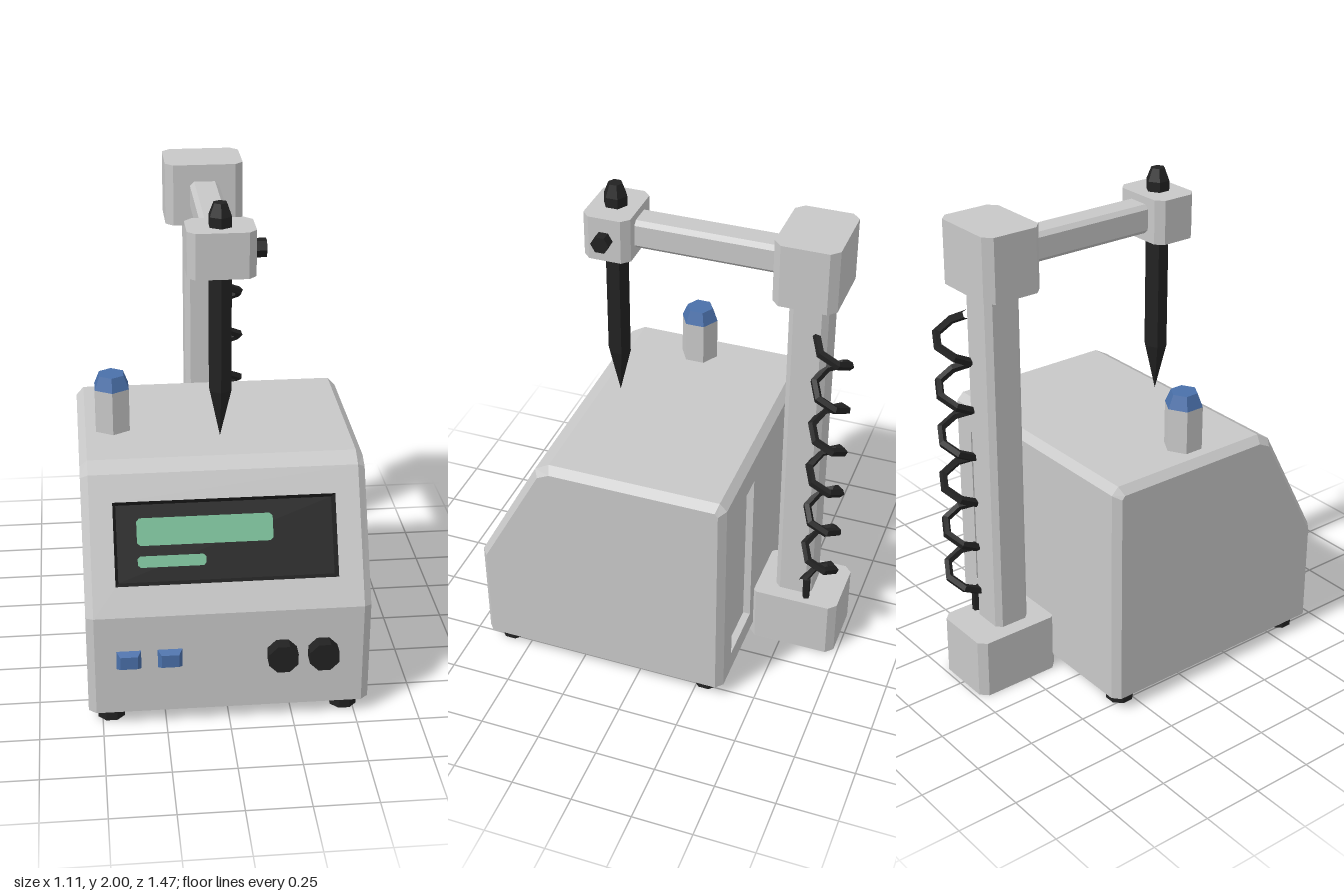
import * as THREE from 'three';

const mat = (name, color) => {
  const m = new THREE.MeshStandardMaterial({ color });
  m.name = name;
  return m;
};

// Builds faceted geometry from a list of convex polygons
function polygons(faces) {
  const pos = [];
  for (const f of faces)
    for (let k = 1; k < f.length - 1; k++) pos.push(...f[0], ...f[k], ...f[k + 1]);
  const g = new THREE.BufferGeometry();
  g.setAttribute('position', new THREE.Float32BufferAttribute(pos, 3));
  g.computeVertexNormals();
  return g;
}

// Gives every facet its own flat normal
function faceted(geometry) {
  const g = geometry.toNonIndexed();
  g.computeVertexNormals();
  return g;
}

// Rectangle with cut corners
function cutRect(x0, x1, y0, y1, c) {
  return new THREE.Shape([
    [x0 + c, y0], [x1 - c, y0], [x1, y0 + c], [x1, y1 - c],
    [x1 - c, y1], [x0 + c, y1], [x0, y1 - c], [x0, y0 + c],
  ].map(([x, y]) => new THREE.Vector2(x, y)));
}

const prism = (shape, depth) => new THREE.ExtrudeGeometry(shape, { depth, bevelEnabled: false });

// Upright block with chamfered vertical edges
function post(w, d, y0, y1, z, c) {
  return prism(cutRect(-w / 2, w / 2, -d / 2, d / 2, c), y1 - y0)
    .rotateX(-Math.PI / 2).translate(0, y0, z);
}

const rect = (x0, x1, y0, y1, z) => [[x0, y0, z], [x1, y0, z], [x1, y1, z], [x0, y1, z]];

// Side walls joining two four-cornered loops
const walls = (a, b) => a.map((p, i) => [p, a[(i + 1) % 4], b[(i + 1) % 4], b[i]]);

export function createModel() {
  const grey = mat('casing grey', 0xc8c8c8);
  const black = mat('black plastic', 0x222222);
  const blue = mat('button blue', 0x4a70aa);
  const green = mat('display green', 0x76b994);

  const model = new THREE.Group();
  model.name = 'benchInstrument';
  const add = (name, geometry, material, parent = model) => {
    const m = new THREE.Mesh(geometry, material);
    m.name = name;
    parent.add(m);
    return m;
  };

  // Casing: side profile as [z, y], inset at the outer sides for the bevel
  const outer = [[0.68, 0.06], [0.68, 0.49], [0.42, 0.975], [0.36, 1.01],
    [-0.345, 1.01], [-0.375, 0.98], [-0.375, 0.06]];
  const inset = [[0.655, 0.06], [0.655, 0.482], [0.4, 0.955], [0.35, 0.98],
    [-0.335, 0.98], [-0.348, 0.965], [-0.348, 0.06]];
  const section = (profile, x) => profile.map(([z, y]) => [x, y, z]);
  const W = 0.525, X = 0.555;
  const loops = [section(inset, -X), section(outer, -W), section(outer, W), section(inset, X)];
  const faces = [loops[0], [...loops[3]].reverse()];
  for (let s = 0; s < 3; s++)
    for (let i = 0; i < 7; i++) {
      if (s === 1 && (i === 1 || i === 5)) continue; // pierced panels go here
      const j = (i + 1) % 7, a = loops[s], b = loops[s + 1];
      faces.push([a[i], b[i], b[j], a[j]]);
    }
  add('casing', polygons(faces), grey);

  // Flat panel with a tapered rectangular recess, centred on its own origin
  function recessedPanel(name, halfHeight, [x0, x1, y0, y1], depth, taper, liner) {
    const group = new THREE.Group();
    group.name = name;
    model.add(group);
    const shape = new THREE.Shape(rect(-W, W, -halfHeight, halfHeight, 0)
      .map(([x, y]) => new THREE.Vector2(x, y)));
    shape.holes.push(new THREE.Path(rect(x0, x1, y0, y1, 0).reverse()
      .map(([x, y]) => new THREE.Vector2(x, y))));
    add(name + 'Face', new THREE.ShapeGeometry(shape), grey, group);
    const front = rect(x0, x1, y0, y1, 0);
    const back = rect(x0 + taper, x1 - taper, y0 + taper, y1 - taper, -depth);
    add(name + 'Recess', polygons([...walls(front, back), back]), liner, group);
    return group;
  }

  // Sloping display panel
  const rise = 0.485, run = 0.26;
  const display = recessedPanel('display', Math.hypot(rise, run) / 2,
    [-0.435, 0.43, -0.156, 0.167], 0.035, 0.012, black);
  display.position.set(0, 0.7325, 0.55);
  display.rotation.x = -Math.atan2(run, rise);
  add('displayMainLine', prism(cutRect(-0.345, 0.185, -0.004, 0.103, 0.012), 0.007)
    .translate(0, 0, -0.035), green, display);
  add('displaySubLine', prism(cutRect(-0.345, -0.08, -0.088, -0.044, 0.01), 0.007)
    .translate(0, 0, -0.035), green, display);

  // Rear panel
  const rear = recessedPanel('rearPanel', 0.46, [-0.43, -0.18, -0.37, 0.35], 0.03, 0, grey);
  rear.position.set(0, 0.52, -0.375);
  rear.rotation.y = Math.PI;

  // Push buttons
  for (const x of [-0.393, -0.233]) {
    const base = rect(x - 0.048, x + 0.048, 0.26, 0.34, 0.68);
    const top = rect(x - 0.034, x + 0.034, 0.273, 0.327, 0.706);
    add('pushButton', polygons([...walls(base, top), top]), blue);
  }

  // Round controls
  for (const x of [0.205, 0.365])
    add('controlKnob', faceted(new THREE.CylinderGeometry(0.062, 0.062, 0.055, 8)
      .rotateY(Math.PI / 8).rotateX(Math.PI / 2)), black).position.set(x, 0.3, 0.7075);

  // Feet
  for (const x of [-0.465, 0.465])
    for (const z of [0.595, -0.285])
      add('foot', faceted(new THREE.CylinderGeometry(0.057, 0.057, 0.062, 8)
        .rotateY(Math.PI / 8)), black).position.set(x, 0.031, z);

  // Hexagonal post with a blue cap
  add('sidePost', faceted(new THREE.CylinderGeometry(0.078, 0.078, 0.18, 6)), grey)
    .position.set(-0.415, 1.1, 0.066);
  add('sidePostCap', faceted(new THREE.CylinderGeometry(0.055, 0.078, 0.055, 6)), blue)
    .position.set(-0.415, 1.2175, 0.066);

  // Stand, arm and holder
  add('standBase', post(0.285, 0.375, 0, 0.25, -0.545, 0.03), grey);
  add('standColumn', post(0.16, 0.155, 0.25, 1.7, -0.53, 0.022), grey);
  add('standHead', post(0.32, 0.25, 1.695, 1.95, -0.53, 0.032), grey);
  add('arm', prism(cutRect(-0.06, 0.06, 1.762, 1.88, 0.017), 0.6).translate(0, 0, -0.42), grey);
  add('probeHolder', post(0.26, 0.19, 1.73, 1.91, 0.262, 0.03), grey);
  add('holderScrew', faceted(new THREE.CylinderGeometry(0.037, 0.037, 0.05, 6)
    .rotateZ(-Math.PI / 2).rotateX(Math.PI / 2)
    .rotateX(Math.PI / 2)), black).position.set(0.148, 1.82, 0.265);

  // Pointed probe
  const probe = [[0, 1.05], [0.048, 1.25], [0.048, 1.95], [0.028, 2], [0, 2]]
    .map(([r, y]) => new THREE.Vector2(r, y));
  add('probe', faceted(new THREE.LatheGeometry(probe, 6)), black).position.z = 0.265;

  // Coiled cable beside the column
  class Coil extends THREE.Curve {
    getPoint(t, target = new THREE.Vector3()) {
      const a = t * 6 * Math.PI * 2;
      return target.set(0.108 + 0.07 * Math.sin(a), 1.56 - 1.22 * t, -0.645 + 0.066 * Math.cos(a));
    }
  }
  add('coiledCable', faceted(new THREE.TubeGeometry(new Coil(), 36, 0.018, 5)), black);
  add('cableTail', faceted(new THREE.CylinderGeometry(0.016, 0.016, 0.11, 5)), black)
    .position.set(0.1, 0.295, -0.595);

  return model;
}
